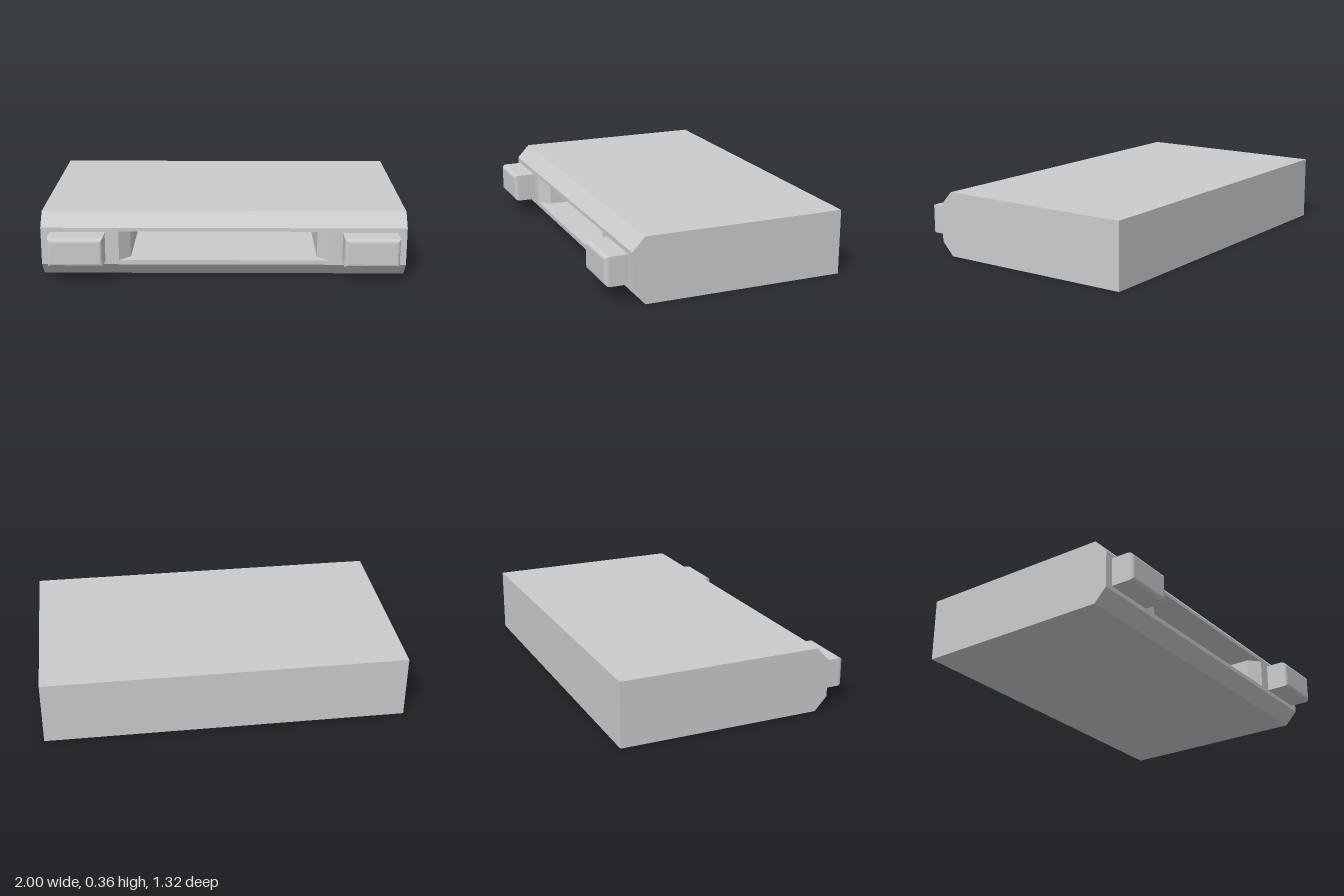
import * as THREE from 'three';

const W = 1, BACK = -0.66, FRONT = 0.535, TOP = 0.36;
const CHAMFER = 0.07;
const SLOT_LOW = 0.1, SLOT_HIGH = 0.265;

const material = new THREE.MeshStandardMaterial({ color: 0xcccccc, flatShading: true });

function shapeOf(points) {
  return new THREE.Shape(points.map(([a, b]) => new THREE.Vector2(a, b)));
}

function addMesh(group, geometry, name) {
  const mesh = new THREE.Mesh(geometry, material);
  mesh.name = name;
  group.add(mesh);
  return mesh;
}

// Side profile given as [z, y], swept across the full width
function sweepAcross(points) {
  const geo = new THREE.ExtrudeGeometry(shapeOf(points.map(([z, y]) => [-z, y])), { depth: 2 * W, bevelEnabled: false });
  return geo.rotateY(Math.PI / 2).translate(-W, 0, 0);
}

// Plan outline given as [x, z], raised from y0 to y1
function raisePlan(points, y0, y1) {
  const geo = new THREE.ExtrudeGeometry(shapeOf(points.map(([x, z]) => [x, -z])), { depth: y1 - y0, bevelEnabled: false });
  return geo.rotateX(-Math.PI / 2).translate(0, y0, 0);
}

export function createModel() {
  const model = new THREE.Group();
  model.name = 'connectorHousing';

  // Lower and upper shells with chamfered front edges
  addMesh(model, sweepAcross([
    [BACK, 0], [FRONT - CHAMFER, 0], [FRONT, 0.075], [FRONT, SLOT_LOW], [BACK, SLOT_LOW],
  ]), 'lowerShell');
  addMesh(model, sweepAcross([
    [BACK, SLOT_HIGH], [FRONT, SLOT_HIGH], [FRONT, 0.285], [FRONT - CHAMFER, TOP], [BACK, TOP],
  ]), 'upperShell');

  // Middle layer with a deep slot whose mouth flares at both ends
  const mouth = 0.575, inner = 0.515, lip = FRONT - 0.06, slotEnd = -0.05;
  addMesh(model, raisePlan([
    [-W, BACK], [W, BACK], [W, FRONT],
    [mouth, FRONT], [inner, lip], [inner, slotEnd],
    [-inner, slotEnd], [-inner, lip], [-mouth, FRONT],
    [-W, FRONT],
  ], SLOT_LOW, SLOT_HIGH), 'slottedCore');

  // Guide blocks with rounded front edges, one on each side of the slot
  const bevel = 0.025, halfW = 0.15, halfH = 0.08, root = 0.5;
  for (const side of [-1, 1]) {
    const outline = shapeOf([[-halfW, -halfH], [halfW, -halfH], [halfW, halfH], [-halfW, halfH]]);
    const geo = new THREE.ExtrudeGeometry(outline, {
      depth: 0.66 - root - bevel,
      bevelThickness: bevel, bevelSize: 0.02, bevelOffset: -0.02, bevelSegments: 4,
    });
    const block = addMesh(model, geo, side > 0 ? 'leftGuideBlock' : 'rightGuideBlock');
    block.position.set(side * 0.8, 0.18, root);
  }

  return model;
}
